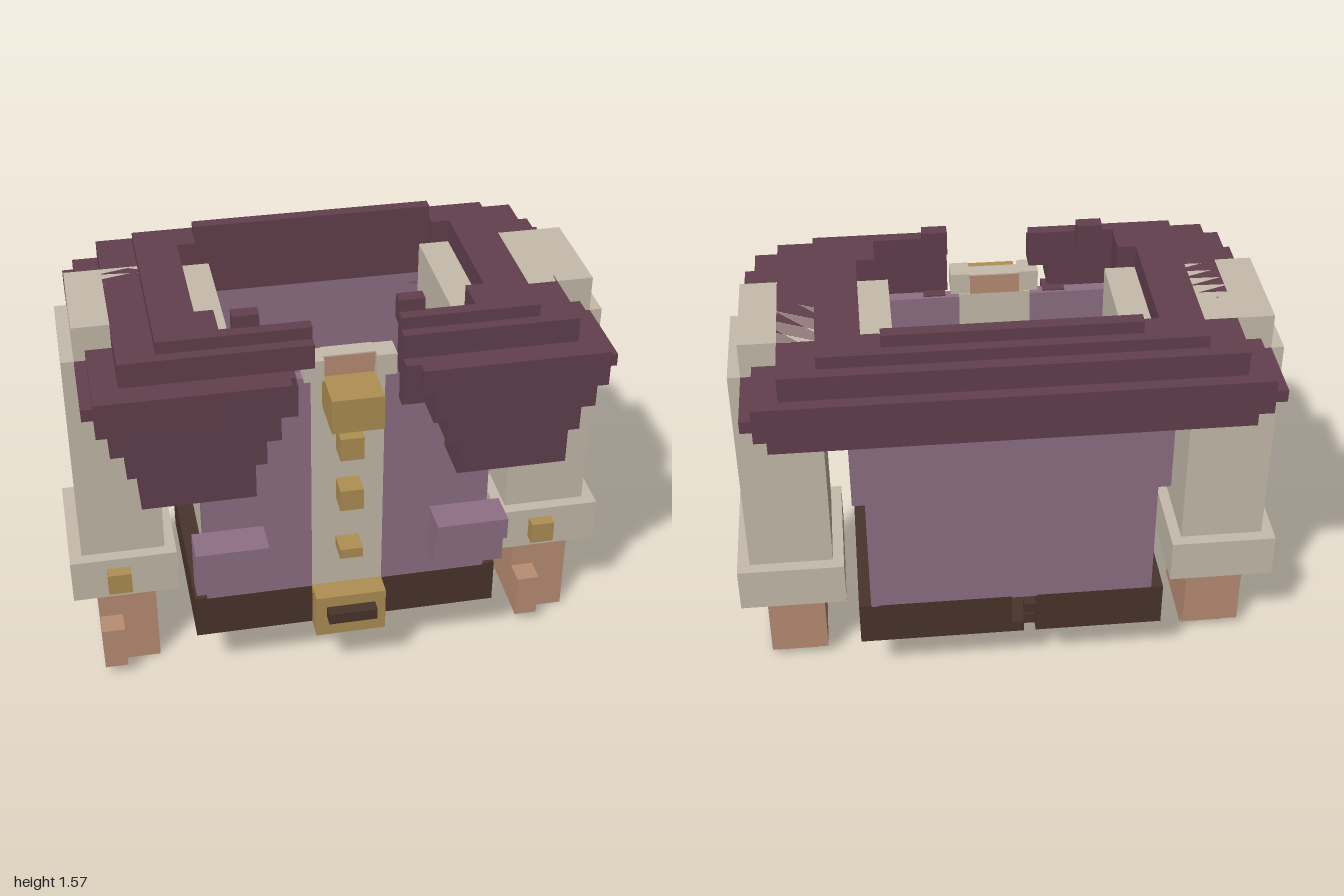
import * as THREE from 'three';

const mat = (name, color) => {
  const m = new THREE.MeshStandardMaterial({ color });
  m.name = name;
  return m;
};

export function createModel() {
  const root = new THREE.Group();
  root.name = 'coatedTorso';
  const cape = mat('plum', 0x62404d);
  const coat = mat('mauve', 0x8f7084);
  const shirt = mat('linen', 0xc6bcab);
  const gold = mat('gold', 0xb08f54);
  const skin = mat('skin', 0xba8e74);
  const leather = mat('leather', 0x49342b);
  const V = 2 / 46; // block unit

  // Box given by its minimum and maximum on each axis
  const box = (name, m, x0, x1, y0, y1, z0, z1) => {
    const mesh = new THREE.Mesh(new THREE.BoxGeometry(x1 - x0, y1 - y0, z1 - z0), m);
    mesh.position.set((x0 + x1) / 2, (y0 + y1) / 2, (z0 + z1) / 2);
    mesh.name = name;
    root.add(mesh);
  };
  // The same box on both sides of the body
  const pair = (name, m, x0, x1, ...yz) => {
    box(name, m, x0, x1, ...yz);
    box(name, m, -x1, -x0, ...yz);
  };

  // Arms: the hands are repeats, not mirror images
  pair('sleeve', shirt, 0.65, 0.955, 0.5, 1.35, -0.24, 0.15);
  pair('shoulder', shirt, 0.65, 0.91, 1.35, 1.48, -0.24, 0.15);
  pair('cuff', shirt, 0.61, 1, 0.35, 0.52, -0.285, 0.195);
  for (const x of [-0.91, 0.695]) {
    box('hand', skin, x, x + 0.215, 0.045, 0.36, -0.195, 0.15);
    box('fingertips', skin, x + V, x + 0.215, 0, 0.05, -0.15, 0.15);
    box('thumb', skin, x, x + 0.085, 0.045, 0.22, 0.15, 0.24);
    box('cuffButton', gold, x + 0.04, x + 0.127, 0.395, 0.48, 0.195, 0.24);
  }

  // Hollow torso walls
  pair('shirtSide', shirt, 0.39, 0.5, 0.39, 1.44, -0.285, 0.195);
  pair('shirtFrontSide', shirt, 0.44, 0.5, 0.39, 1.3, 0.195, 0.245);
  pair('coatFront', coat, 0.13, 0.52, 0.39, 1.3, 0.28, 0.325);
  box('coatBack', coat, -0.52, 0.52, 0.39, 1.3, -0.37, -0.325);
  pair('coatFrontCorner', coat, 0.44, 0.52, 0.39, 0.87, 0.24, 0.325);
  pair('coatBackCorner', coat, 0.44, 0.52, 0.39, 0.87, -0.37, -0.285);
  pair('coatFrontShoulder', coat, 0.44, 0.565, 0.87, 1.3, 0.24, 0.325);
  pair('coatBackShoulder', coat, 0.44, 0.565, 0.87, 1.3, -0.37, -0.285);
  box('shirtFront', shirt, -0.13, 0.13, 0.39, 1.31, 0.28, 0.325);

  // Neck opening
  box('throat', skin, -0.09, 0.09, 1.31, 1.385, 0.28, 0.34);
  box('throatTrim', shirt, -0.09, 0.09, 1.385, 1.39, 0.28, 0.34);
  pair('collarTip', shirt, 0.09, 0.16, 1.31, 1.39, 0.285, 0.37);

  // Clasp, buttons and pockets
  box('clasp', gold, -0.09, 0.09, 1.18, 1.31, 0.325, 0.5);
  for (const [y0, y1] of [[1, 1.09], [0.785, 0.87], [0.57, 0.61]]) {
    box('button', gold, -0.042, 0.042, y0, y1, 0.325, 0.41);
  }
  pair('pocket', coat, 0.305, 0.565, 0.48, 0.61, 0.325, 0.41);
  pair('pocketFlap', coat, 0.305, 0.565, 0.61, 0.695, 0.325, 0.455);

  // Belt walls, with a ragged gap at the back
  box('beltFront', leather, -0.565, 0.565, 0.22, 0.395, 0.28, 0.325);
  pair('beltSide', leather, 0.5, 0.565, 0.22, 0.395, -0.325, 0.28);
  pair('beltTop', leather, 0.39, 0.5, 0.35, 0.395, -0.325, 0.28);
  box('beltBack', leather, -0.565, -0.09, 0.22, 0.395, -0.37, -0.325);
  box('beltBack', leather, 0, 0.565, 0.22, 0.395, -0.37, -0.325);
  box('beltBackChip', leather, -0.09, -0.045, 0.31, 0.35, -0.37, -0.325);
  box('beltBackChip', leather, -0.045, 0, 0.22, 0.265, -0.37, -0.325);
  box('buckle', gold, -0.13, 0.13, 0.22, 0.395, 0.325, 0.41);
  box('bucklePin', leather, -0.09, 0.09, 0.305, 0.35, 0.41, 0.455);

  // Floor of the belt, with a worn patch of missing blocks
  const px = -0.345, pz = -0.025, n = 7, py = 0.22 + V;
  box('floor', leather, -0.52, px, 0.22, py, -0.33, 0.285);
  box('floor', leather, px + n * V, 0.52, 0.22, py, -0.33, 0.285);
  box('floor', leather, px, px + n * V, 0.22, py, -0.33, pz);
  const worn = ['..#...#', '...#.#.', '.##.#.#', '...##..', '#.##.#.', '..#..#.', '.#.....'];
  worn.forEach((row, j) => [...row].forEach((c, i) => {
    if (c === '.') {
      box('floorBlock', leather, px + i * V, px + (i + 1) * V, 0.22, py, pz + j * V, pz + (j + 1) * V);
    }
  }));

  // Cape: stacked U-shaped layers around the neck hole, open at the front
  const layer = (hx, y0, y1, zBack, zFront, gapL, gapR, wide) => {
    const hole = wide
      ? [[0.435, 0.325], [0.435, 0.195], [0.5, 0.195], [0.5, -0.285], [0.435, -0.285], [0.435, -0.325]]
      : [[0.435, 0.325], [0.435, -0.325]];
    const pts = [[gapR, zFront], [hx, zFront], [hx, zBack], [-hx, zBack], [-hx, zFront],
      [-gapL, zFront], [-gapL, 0.325],
      ...hole.map(([x, z]) => [-x, z]),
      ...hole.slice().reverse(), [gapR, 0.325]];
    const shape = new THREE.Shape(pts.map(([x, z]) => new THREE.Vector2(x, -z)));
    const g = new THREE.ExtrudeGeometry(shape, { depth: y1 - y0, bevelEnabled: false });
    g.rotateX(-Math.PI / 2);
    const mesh = new THREE.Mesh(g, cape);
    mesh.position.y = y0;
    mesh.name = 'capeLayer';
    root.add(mesh);
  };
  layer(0.65, 1.48, 1.525, -0.41, 0.37, 0.13, 0.17, true);
  layer(0.78, 1.39, 1.48, -0.455, 0.41, 0.13, 0.17, true);
  layer(0.87, 1.35, 1.39, -0.5, 0.455, 0.2, 0.17, false);
  layer(0.91, 1.305, 1.35, -0.5, 0.455, 0.2, 0.17, false);
  layer(0.87, 1.26, 1.305, -0.5, 0.455, 0.27, 0.22, false);
  layer(0.83, 1.18, 1.26, -0.455, 0.41, 0.27, 0.26, false);
  box('capeBackRim', cape, -0.435, 0.435, 1.525, 1.57, -0.37, -0.325);
  box('capeFrontRim', cape, -0.39, -0.3, 1.48, 1.57, 0.28, 0.33);
  box('capeFrontRim', cape, 0.17, 0.26, 1.48, 1.57, 0.28, 0.33);

  // Stepped front flaps of the cape
  const steps = [
    [0.35, 0.74, 0.96, 1.09], [0.31, 0.78, 1.09, 1.18], [0.26, 0.83, 1.18, 1.26],
    [0.26, 0.87, 1.26, 1.305], [0.22, 0.87, 1.305, 1.39],
  ];
  for (const [x0, x1, y0, y1] of steps) pair('capeFlap', cape, x0, x1, y0, y1, 0.325, 0.5);
  pair('capeLapel', cape, 0.18, 0.26, 1.18, 1.305, 0.29, 0.37);

  return root;
}
